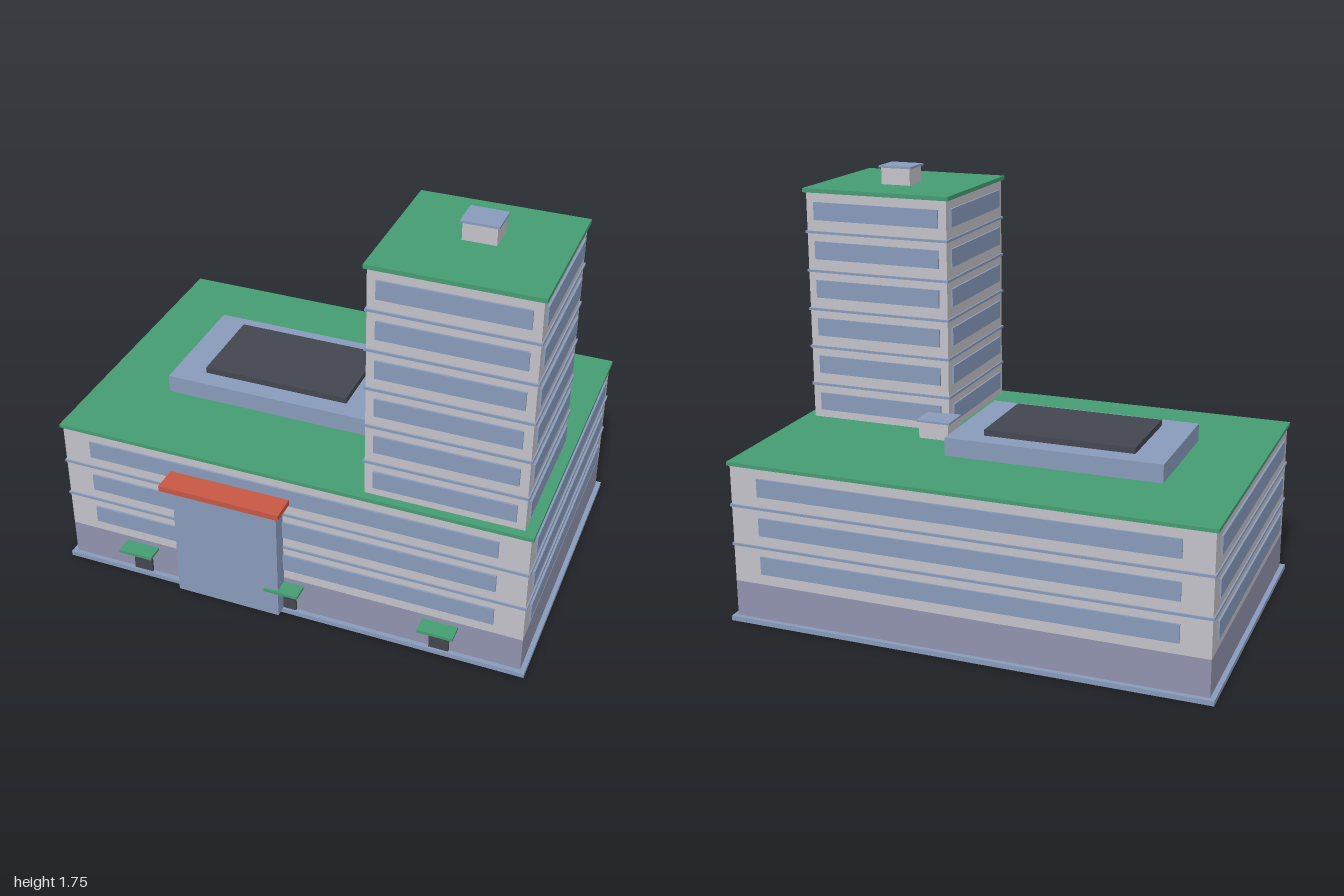
import * as THREE from 'three';

const mat = (name, color) => {
  const m = new THREE.MeshStandardMaterial({ color });
  m.name = name;
  return m;
};

export function createModel() {
  const wall = mat('pale grey wall', 0xc3c2c9);
  const blue = mat('blue glass', 0x889bbb);
  const violet = mat('violet grey ground floor', 0x9093ae);
  const green = mat('green roof', 0x459c72);
  const red = mat('red canopy', 0xc85744);
  const dark = mat('dark panel', 0x444650);

  const model = new THREE.Group();
  model.name = 'officeBuilding';

  // Box given by its limits on each axis
  const box = (parent, name, material, x0, x1, y0, y1, z0, z1) => {
    const mesh = new THREE.Mesh(new THREE.BoxGeometry(x1 - x0, y1 - y0, z1 - z0), material);
    mesh.position.set((x0 + x1) / 2, (y0 + y1) / 2, (z0 + z1) / 2);
    mesh.name = name;
    parent.add(mesh);
    return mesh;
  };
  const section = (name) => {
    const g = new THREE.Group();
    g.name = name;
    model.add(g);
    return g;
  };

  // Window strips on all four faces, with thin string courses between floors
  const addFloors = (parent, [x0, x1, z0, z1], first, pitch, count, insetX, insetZ, firstBand, bands) => {
    const out = 0.008, h = 0.0375;
    for (let i = 0; i < count; i++) {
      const y = first + i * pitch;
      for (const [a, b] of [[z1, z1 + out], [z0 - out, z0]])
        box(parent, 'windowStrip', blue, x0 + insetX, x1 - insetX, y - h, y + h, a, b);
      for (const [a, b] of [[x1, x1 + out], [x0 - out, x0]])
        box(parent, 'windowStrip', blue, a, b, y - h, y + h, z0 + insetZ, z1 - insetZ);
    }
    for (let i = 0; i < bands; i++) {
      const y = firstBand + i * pitch;
      box(parent, 'stringCourse', blue, x0 - 0.006, x1 + 0.006, y - 0.005, y + 0.005, z0 - 0.006, z1 + 0.006);
    }
  };

  // Podium
  const podium = section('podium');
  box(podium, 'basePlate', blue, -1, 1, 0, 0.02, -0.7, 0.61);
  box(podium, 'groundFloor', violet, -0.98, 0.98, 0.02, 0.172, -0.68, 0.59);
  box(podium, 'upperFloors', wall, -0.98, 0.98, 0.172, 0.665, -0.68, 0.59);
  box(podium, 'podiumRoof', green, -0.99, 0.99, 0.665, 0.68, -0.69, 0.6);
  addFloors(podium, [-0.98, 0.98, -0.68, 0.59], 0.256, 0.165, 3, 0.12, 0.073, 0.332, 2);

  // Tower
  const tower = section('tower');
  box(tower, 'towerWalls', wall, 0.317, 0.947, 0.68, 1.65, -0.035, 0.563);
  box(tower, 'towerRoof', green, 0.305, 0.958, 1.65, 1.667, -0.047, 0.573);
  addFloors(tower, [0.317, 0.947, -0.035, 0.563], 0.752, 0.1643, 6, 0.035, 0.037, 0.827, 5);

  // Rooftop huts
  const addHut = (name, x, z, y0, y1) => {
    const hut = section(name);
    box(hut, 'hutWalls', wall, x - 0.065, x + 0.065, y0, y1, z - 0.057, z + 0.057);
    box(hut, 'hutCap', blue, x - 0.073, x + 0.073, y1, y1 + 0.009, z - 0.064, z + 0.064);
  };
  addHut('towerHut', 0.632, 0.221, 1.667, 1.737);
  addHut('podiumHut', 0.338, -0.091, 0.68, 0.75);

  // Raised skylight
  const skylight = section('skylight');
  box(skylight, 'skylightBase', blue, -0.685, 0.215, 0.68, 0.755, -0.316, 0.218);
  box(skylight, 'skylightPanel', dark, -0.55, 0.077, 0.755, 0.78, -0.236, 0.138);

  // Main entrance
  const entrance = section('entrance');
  box(entrance, 'entranceBay', blue, -0.462, -0.015, 0.02, 0.556, 0.58, 0.653);
  box(entrance, 'entranceCanopy', red, -0.494, 0.018, 0.556, 0.58, 0.58, 0.705);

  // Small doors with green canopies
  for (const x of [-0.656, -0.002, 0.648]) {
    const door = section('sideDoor');
    box(door, 'doorPanel', dark, x - 0.041, x + 0.041, 0.02, 0.138, 0.58, 0.6);
    box(door, 'doorCanopy', green, x - 0.073, x + 0.073, 0.138, 0.15, 0.58, 0.662);
  }
  return model;
}
